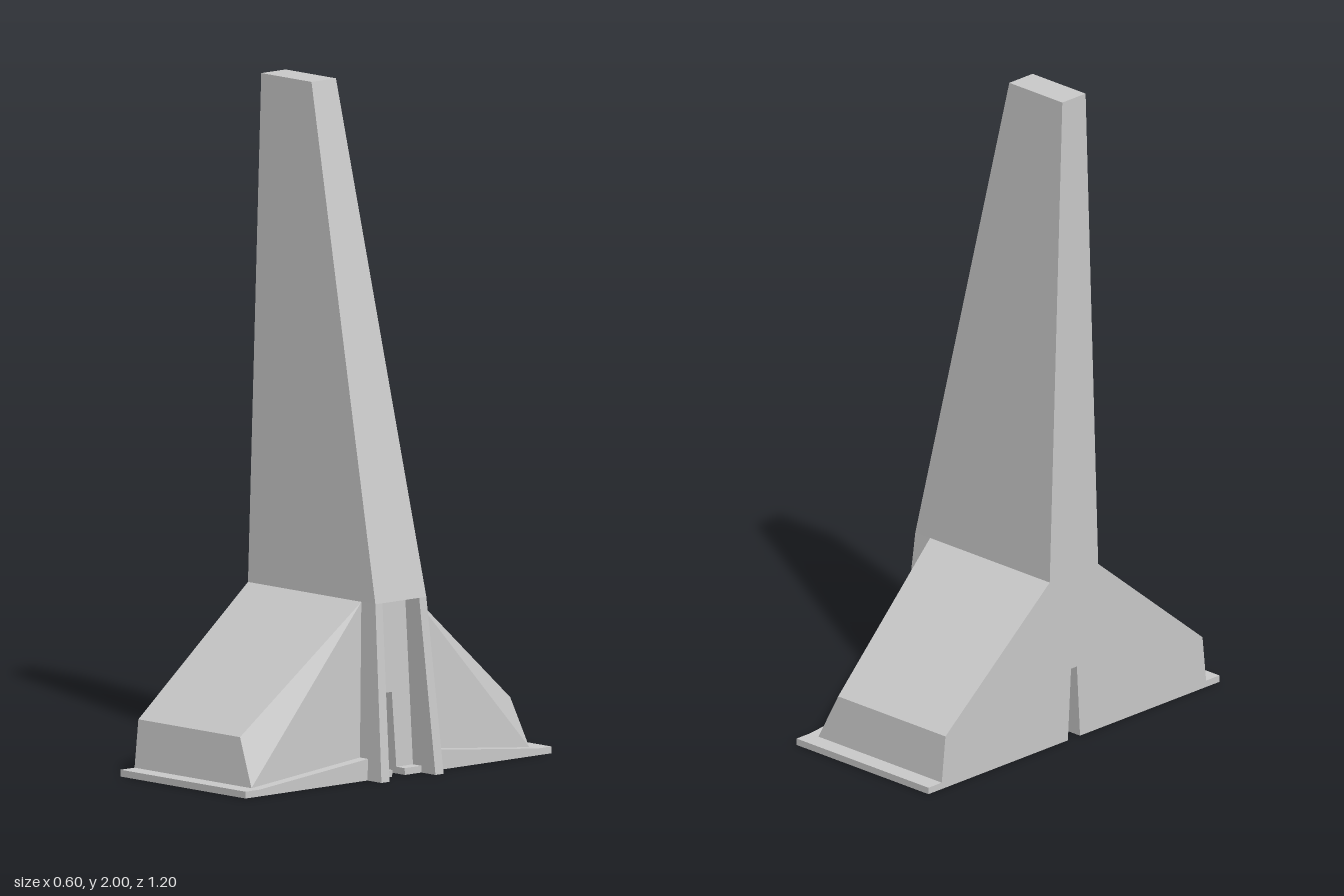
import * as THREE from 'three';
import { ConvexGeometry } from 'three/addons/geometries/ConvexGeometry.js';

const material = new THREE.MeshStandardMaterial({ color: 0xcccccc, flatShading: true });

function add(group, name, geometry) {
  const mesh = new THREE.Mesh(geometry, material);
  mesh.name = name;
  group.add(mesh);
}

// Convex solid from corner points, with z multiplied by side (1 or -1)
function solid(points, side = 1) {
  return new ConvexGeometry(points.map(([x, y, z]) => new THREE.Vector3(x, y, z * side)));
}

// Rectangle at height y from x0 to x1 and z0 to z1
const level = (y, x0, x1, z0, z1) => [[x0, y, z0], [x1, y, z0], [x1, y, z1], [x0, y, z1]];

// Central block with a narrow slot running through it along x
function lowerBody() {
  const outline = [
    [-0.1, 0], [-0.025, 0], [-0.012, 0.24], [0.012, 0.24],
    [0.025, 0], [0.1, 0], [0.1, 0.515], [-0.1, 0.515],
  ].map(([u, v]) => new THREE.Vector2(u, v));
  const geo = new THREE.ExtrudeGeometry(new THREE.Shape(outline), { depth: 0.5, bevelEnabled: false });
  geo.rotateY(Math.PI / 2).translate(-0.3, 0, 0);
  const p = geo.attributes.position;
  for (let i = 0; i < p.count; i++) {
    const x = p.getX(i), y = p.getY(i);
    if (x > 0) p.setX(i, 0.2 - 0.015 * (y / 0.515)); // front leans back
    else if (Math.abs(y - 0.24) < 0.001) p.setY(i, 0.22); // slot roof slopes down to the rear
  }
  geo.computeVertexNormals();
  return geo;
}

export function createModel() {
  const model = new THREE.Group();
  model.name = 'finTower';

  // Tapering upper mast
  add(model, 'mast', solid([
    ...level(0.515, -0.3, 0.245, -0.1, 0.1),
    ...level(2, -0.3, -0.085, -0.048, 0.048),
  ]));
  add(model, 'lowerBody', lowerBody());

  for (const side of [1, -1]) {
    const half = new THREE.Group();
    half.name = side > 0 ? 'frontHalf' : 'rearHalf';

    // Thin foot plate, separated from its twin by the slot
    add(half, 'footPlate', solid([
      ...level(0, -0.3, 0.235, 0.025, 0.6),
      ...level(0.02, -0.3, 0.235, 0.024, 0.6),
    ], side));

    // Sloping buttress with a swept front face
    add(half, 'buttress', solid([
      ...level(0.02, -0.3, 0.2, 0.09, 0.545),
      [0.2, 0.065, 0.1],
      [-0.3, 0.16, 0.53], [0.135, 0.16, 0.53],
      [-0.3, 0.515, 0.1], [0.185, 0.515, 0.1], [-0.3, 0.515, 0.09], [0.185, 0.515, 0.09],
    ], side));

    // Low wedge along the plate edge, rising towards the rib
    add(half, 'wedge', solid([
      ...level(0.02, 0.19, 0.235, 0.1, 0.545),
      [0.19, 0.065, 0.1], [0.235, 0.065, 0.1],
    ], side));

    // Upright rib beside the recess
    add(half, 'rib', solid([
      ...level(0, 0.185, 0.295, 0.09, 0.122),
      ...level(0.515, 0.175, 0.245, 0.072, 0.1),
    ], side));
    model.add(half);
  }
  return model;
}
